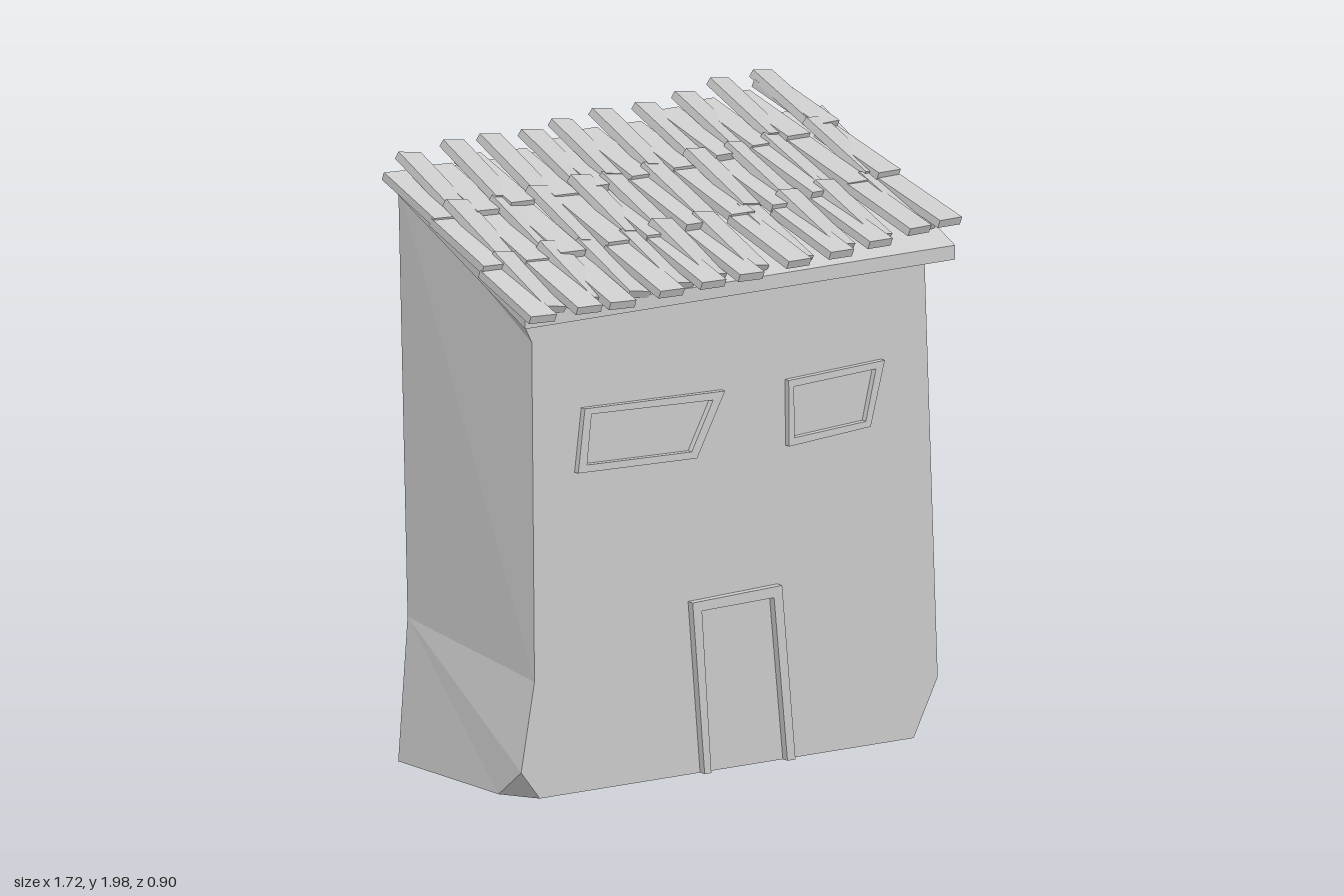
import * as THREE from 'three';

const material = new THREE.MeshStandardMaterial({ color: 0xcccccc, flatShading: true, side: THREE.DoubleSide });

function add(parent, name, geometry) {
  const mesh = new THREE.Mesh(geometry, material);
  mesh.name = name;
  parent.add(mesh);
  return mesh;
}

const shapeOf = (pts) => new THREE.Shape(pts.map(([x, y]) => new THREE.Vector2(x, y)));

// Flat polygons, each split as a fan from its first corner
function fans(polygons) {
  const positions = [];
  for (const p of polygons)
    for (let i = 1; i < p.length - 1; i++) positions.push(...p[0], ...p[i], ...p[i + 1]);
  const geometry = new THREE.BufferGeometry();
  geometry.setAttribute('position', new THREE.Float32BufferAttribute(positions, 3));
  geometry.computeVertexNormals();
  return geometry;
}

const FRONT = 0.31, BACK = -0.345;
const roofTop = (z) => 1.70 - 0.43 * z;

function addWalls(group) {
  // Crooked front outline, from the top left round to the top right
  const outline = [[-0.8, 1.52], [-0.76, 1.44], [-0.75, 0.37], [-0.8, 0.09],
    [-0.73, 0], [0.67, 0], [0.76, 0.18], [0.71, 1.52]];
  add(group, 'frontWall', new THREE.ShapeGeometry(shapeOf(outline)).translate(0, 0, FRONT));
  const [a, b, c, d, e, f, g, h] = outline.map(([x, y]) => [x, y, FRONT]);

  const leftTop = [-0.8, 1.82, BACK], leftBend = [-0.765, 0.45, BACK], leftFoot = [-0.8, 0, BACK];
  const rightTop = [0.76, 1.82, BACK], rightFoot = [0.76, 0, BACK];
  const leftCut = [-0.8, 0, 0.19], rightCut = [0.76, 0, 0.14];

  add(group, 'negativeXWall', fans([[leftTop, leftBend, c, b, a], [leftBend, leftFoot, leftCut, d, c]]));
  add(group, 'positiveXWall', fans([[g, rightCut, rightFoot, rightTop, h]]));
  add(group, 'backWall', fans([[leftBend, leftTop, rightTop, rightFoot, leftFoot]]));
  add(group, 'cutCorners', fans([[d, leftCut, e], [g, f, rightCut]]));
}

// Raised frame between an outer and an inner outline
function addFrame(group, name, outer, inner, depth) {
  const shape = shapeOf(outer);
  if (inner) shape.holes.push(shapeOf(inner));
  const geometry = new THREE.ExtrudeGeometry(shape, { depth, bevelEnabled: false });
  add(group, name, geometry.translate(0, 0, FRONT));
}

function addRoofSlab(group) {
  const front = 0.36, t = 0.045;
  const section = shapeOf([[-front, roofTop(front) - t], [-BACK, roofTop(BACK) - t],
    [-BACK, roofTop(BACK)], [-front, roofTop(front)]]);
  const slab = new THREE.ExtrudeGeometry(section, { depth: 1.61, bevelEnabled: false });
  // Section runs along -z, extrusion along +x
  slab.rotateY(Math.PI / 2).translate(-0.82, 0, 0);
  add(group, 'roofSlab', slab);
}

function addShingles(group) {
  const shingles = new THREE.Group();
  shingles.name = 'shingles';
  group.add(shingles);

  const place = (name, x, z, lift, pitch, yaw, roll, width) => {
    const tile = add(shingles, name, new THREE.BoxGeometry(width, 0.026, 0.28));
    tile.rotation.set(pitch, yaw, roll, 'YXZ');
    tile.position.set(x, roofTop(z) + lift, z);
  };

  // Under columns lie flatter, with their lowest tile overhanging the front
  const under = [-0.81, -0.64, -0.51, -0.33, -0.17, -0.02, 0.16, 0.33, 0.485, 0.64, 0.77];
  under.forEach((x, i) => {
    const k = i / 10, bend = k * k;
    const yaw = 0.02 + 0.2 * k;
    for (let row = 0; row < 3; row++) {
      const wobble = Math.sin(i * 2.3 + row * 1.7);
      const z = 0.305 - 0.25 * row - 0.11 * bend;
      place('underShingle', x - row * 0.05 * k - 0.005 * row, z, 0.024 + 0.006 * wobble + 0.02 * k,
        0.35 + 0.02 * wobble, yaw + 0.03 * wobble, -0.06, 0.1);
    }
  });

  // Over columns are steeper, rolled sideways and rise past the back edge
  const over = [-0.75, -0.58, -0.44, -0.28, -0.16, 0, 0.17, 0.33, 0.475, 0.65];
  over.forEach((x, i) => {
    const k = i / 9, bend = k * k;
    for (let row = 0; row < 3; row++) {
      const wobble = Math.sin(i * 1.9 + row * 2.6);
      const z = 0.25 - 0.24 * row - 0.09 * bend;
      place('overShingle', x + (2 - row) * (0.01 + 0.02 * k), z, 0.022 + 0.012 * row + 0.006 * wobble + 0.01 * k,
        0.47 + 0.03 * wobble, 0.07 + 0.13 * k + 0.03 * wobble, -0.2, 0.095);
    }
  });
}

export function createModel() {
  const group = new THREE.Group();
  group.name = 'crookedHouse';
  addWalls(group);

  addFrame(group, 'wideWindowFrame',
    [[-0.575, 1.21], [-0.05, 1.195], [-0.155, 0.997], [-0.6, 1.01]],
    [[-0.55, 1.19], [-0.095, 1.172], [-0.175, 1.02], [-0.567, 1.032]], 0.02);
  addFrame(group, 'smallWindowFrame',
    [[0.188, 1.195], [0.548, 1.21], [0.495, 1.008], [0.19, 0.987]],
    [[0.208, 1.173], [0.515, 1.187], [0.477, 1.027], [0.21, 1.012]], 0.02);
  // Door frame open at the ground
  addFrame(group, 'doorFrame',
    [[-0.175, 0.545], [0.16, 0.555], [0.21, 0], [0.18, 0], [0.13, 0.52], [-0.14, 0.515], [-0.105, 0], [-0.13, 0]],
    null, 0.025);

  addRoofSlab(group);
  addShingles(group);
  return group;
}
